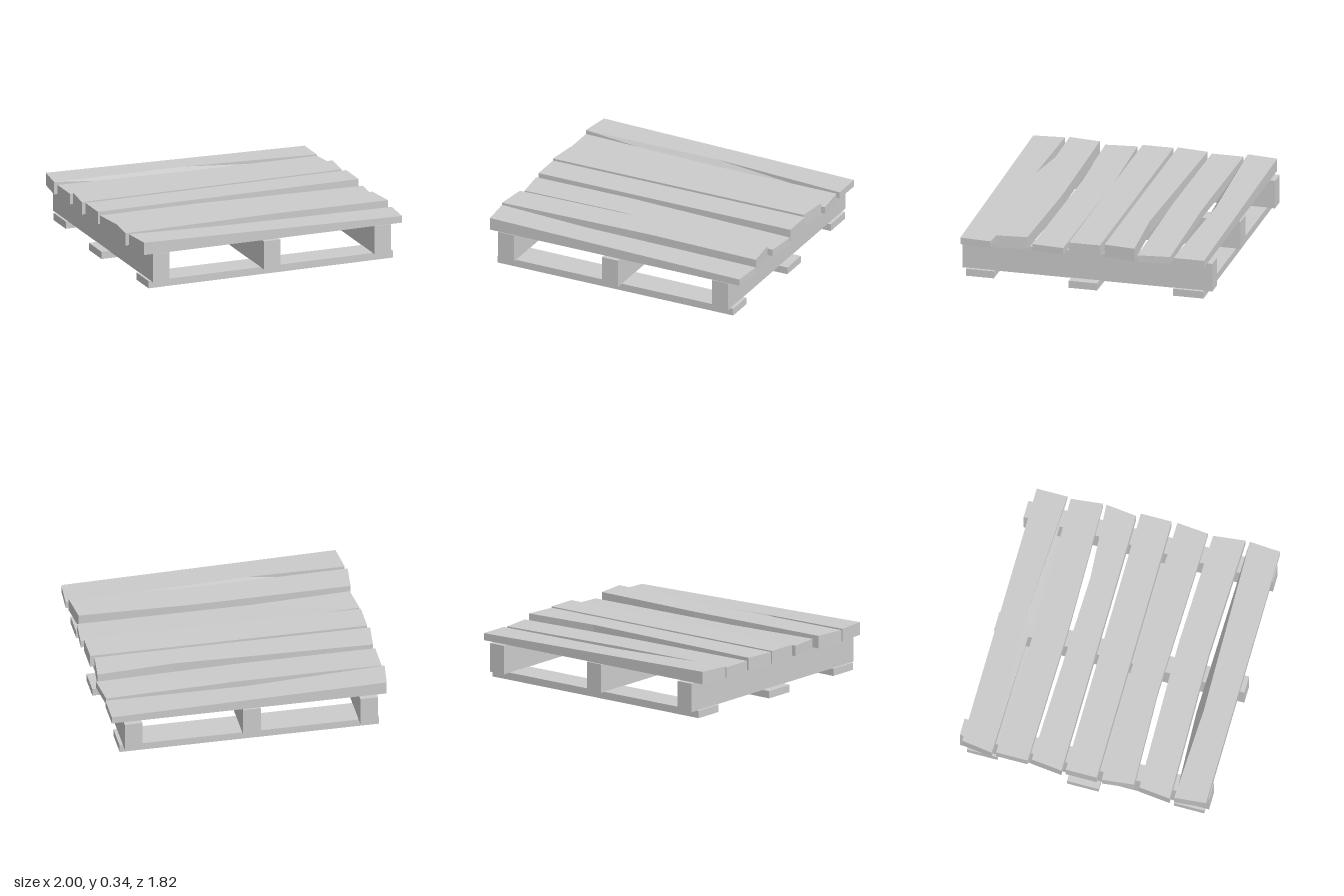
import * as THREE from 'three';

const material = new THREE.MeshStandardMaterial({ color: 0xcccccc, flatShading: true });

// Loft a board through three sections (left end, middle, right end).
// xL, xR and zL, zR are [back, front]; the middle section is given by midX and
// mid = z of [back bottom, back top, front top, front bottom].
function boardGeometry({ xL, xR, zL, zR, midX, mid, y0, topL, topR }) {
  const end = (x, z, top) => [
    [x[0], y0, z[0]], [x[0], top, z[0]], [x[1], top, z[1]], [x[1], y0, z[1]],
  ];
  const t = (midX - xL[0]) / (xR[0] - xL[0]);
  const midTop = topL + (topR - topL) * t;
  const sections = [
    end(xL, zL, topL),
    mid.map((z, i) => [midX, i === 1 || i === 2 ? midTop : y0, z]),
    end(xR, zR, topR),
  ];
  const pos = [];
  const quad = (a, b, c, d) => pos.push(...a, ...b, ...c, ...a, ...c, ...d);
  for (let s = 0; s < 2; s++) {
    const A = sections[s], B = sections[s + 1];
    for (let i = 0; i < 4; i++) {
      const j = (i + 1) % 4;
      quad(A[i], A[j], B[j], B[i]);
    }
  }
  const [L, , R] = sections;
  quad(L[3], L[2], L[1], L[0]);
  quad(R[0], R[1], R[2], R[3]);
  const g = new THREE.BufferGeometry();
  g.setAttribute('position', new THREE.Float32BufferAttribute(pos, 3));
  g.computeVertexNormals();
  return g;
}

export function createModel() {
  const pallet = new THREE.Group();
  pallet.name = 'pallet';
  const add = (name, geometry) => {
    const mesh = new THREE.Mesh(geometry, material);
    mesh.name = name;
    pallet.add(mesh);
    return mesh;
  };

  // Top planks, back to front, each slightly warped
  const planks = [
    { xL: [-0.97, -1], xR: [0.98, 0.98], z: [-0.875, -0.655], midX: 0,
      mid: [-0.875, -0.875, -0.695, -0.645], topL: 0.345, topR: 0.305 },
    { xL: [-0.985, -0.985], xR: [0.97, 0.995], z: [-0.628, -0.4], midX: 0.02,
      mid: [-0.61, -0.61, -0.385, -0.385], topL: 0.33, topR: 0.305 },
    { xL: [-0.975, -1], xR: [0.98, 0.955], z: [-0.373, -0.152], midX: 0.43,
      mid: [-0.337, -0.337, -0.152, -0.152], topL: 0.345, topR: 0.345 },
    { xL: [-0.985, -0.985], xR: [0.98, 0.98], z: [-0.125, 0.098], midX: 0,
      mid: [-0.13, -0.125, 0.098, 0.098], topL: 0.345, topR: 0.345 },
    { xL: [-0.985, -0.96], xR: [0.995, 0.975], z: [0.135, 0.36], midX: -0.26,
      mid: [0.113, 0.113, 0.337, 0.337], topL: 0.33, topR: 0.305 },
    { xL: [-0.975, -1], xR: [0.955, 0.98], z: [0.403, 0.628], midX: 0.12,
      mid: [0.383, 0.383, 0.607, 0.607], topL: 0.345, topR: 0.345 },
    { xL: [-0.985, -0.965], xR: [0.995, 0.98], z: [0.657, 0.88], midX: -0.3,
      mid: [0.63, 0.682, 0.88, 0.88], topL: 0.345, topR: 0.303 },
  ];
  planks.forEach((p, i) =>
    add(`topPlank${i + 1}`, boardGeometry({ ...p, zL: p.z, zR: p.z, y0: 0.255 })));

  // Stringers running front to back
  const stringers = [[-0.838, -0.912, 0.885], [-0.012, -0.888, 0.912], [0.833, -0.912, 0.885]];
  stringers.forEach(([x, z0, z1], i) => {
    const mesh = add(`stringer${i + 1}`, new THREE.BoxGeometry(0.125, 0.205, z1 - z0));
    mesh.position.set(x, 0.1525, (z0 + z1) / 2);
  });

  // Bottom boards, narrowing a little toward the left-hand end
  const bottoms = [
    { half: 0.92, zL: [-0.855, -0.635], zR: [-0.855, -0.637] },
    { half: 0.96, zL: [-0.123, 0.105], zR: [-0.1, 0.105] },
    { half: 0.92, zL: [0.638, 0.855], zR: [0.655, 0.855] },
  ];
  bottoms.forEach(({ half, zL, zR }, i) => {
    const b = (zL[0] + zR[0]) / 2, f = (zL[1] + zR[1]) / 2;
    add(`bottomBoard${i + 1}`, boardGeometry({
      xL: [-half, -half], xR: [half, half], zL, zR, midX: 0, mid: [b, b, f, f],
      y0: 0, topL: 0.052, topR: 0.052,
    }));
  });
  return pallet;
}
